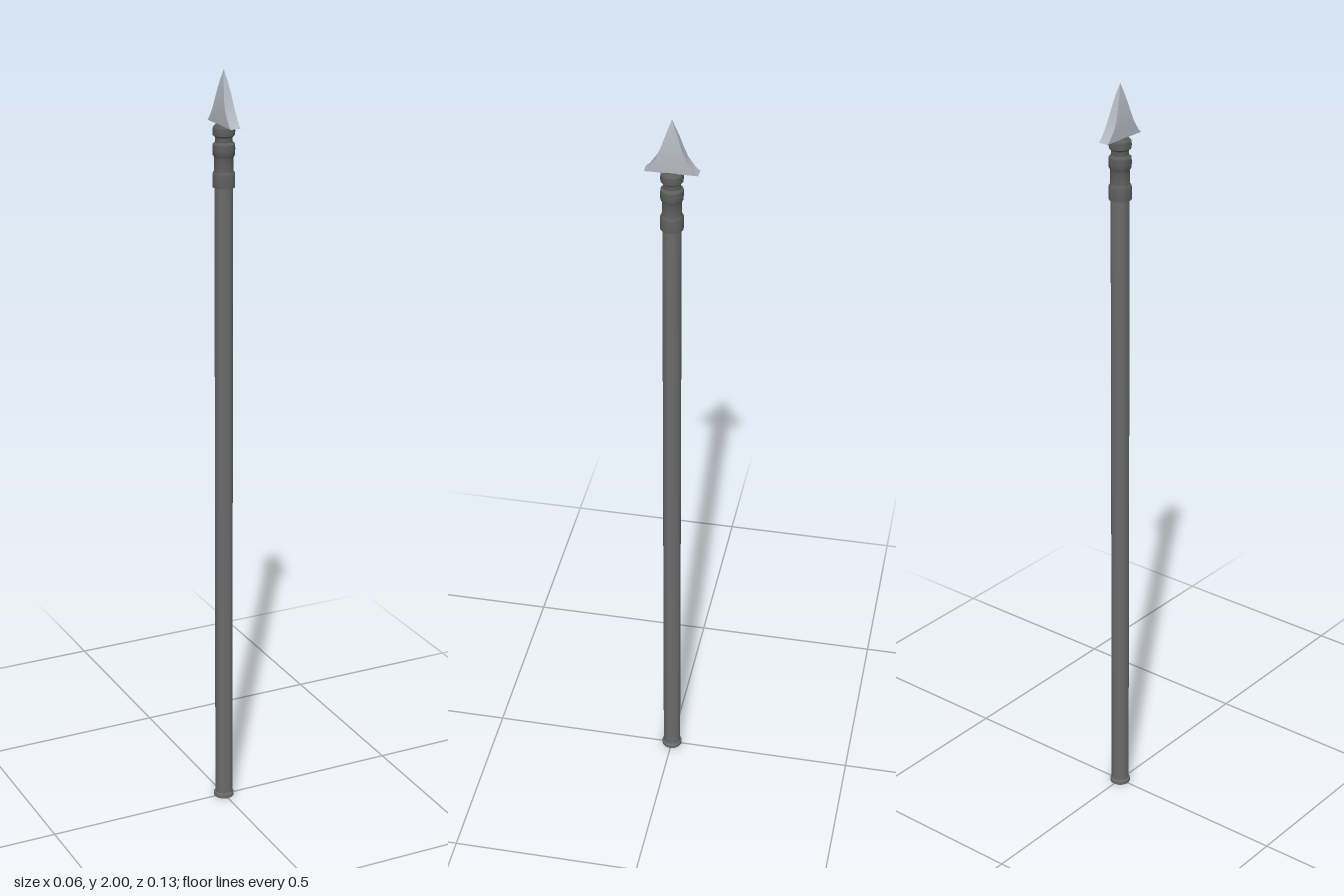
import * as THREE from 'three';
import { toCreasedNormals } from 'three/addons/utils/BufferGeometryUtils.js';

const SIDES = 20;

function turned(name, points, color) {
  const profile = points.map(([r, y]) => new THREE.Vector2(r, y));
  const geometry = toCreasedNormals(new THREE.LatheGeometry(profile, SIDES), 0.6);
  const mesh = new THREE.Mesh(geometry, new THREE.MeshStandardMaterial({ color }));
  mesh.name = name;
  return mesh;
}

// Rectangular blade: a box whose layers follow [y, half thickness, half width]
function bladeGeometry(layers) {
  const n = layers.length - 1;
  const geometry = new THREE.BoxGeometry(2, n, 2, 1, n, 1);
  const p = geometry.attributes.position;
  for (let i = 0; i < p.count; i++) {
    const [y, hx, hz] = layers[Math.round(p.getY(i) + n / 2)];
    p.setXYZ(i, p.getX(i) * hx, y, p.getZ(i) * hz);
  }
  return toCreasedNormals(geometry, 0.5);
}

export function createModel() {
  const group = new THREE.Group();
  group.name = 'spear';

  // Long round pole with a small foot rim
  group.add(turned('shaft', [
    [0, 0], [0.027, 0], [0.027, 0.009], [0.0235, 0.014], [0.0235, 1.72], [0, 1.72],
  ], 0x6a6a6a));

  // Ringed socket holding the blade
  group.add(turned('socket', [
    [0, 1.708], [0.0285, 1.708], [0.0285, 1.742], [0.0245, 1.748],
    [0.0245, 1.784], [0.028, 1.79], [0.0285, 1.803], [0.028, 1.816],
    [0.022, 1.822], [0.022, 1.834], [0.0275, 1.839], [0.0285, 1.848],
    [0.0275, 1.858], [0.02, 1.866], [0, 1.866],
  ], 0x5c5e5c));

  // Flared blade with concave edges, broad along z
  const blade = new THREE.Mesh(
    bladeGeometry([
      [1.865, 0.0135, 0.0655], [1.873, 0.0135, 0.056], [1.9, 0.0135, 0.037],
      [1.925, 0.0118, 0.0265], [1.95, 0.009, 0.0185], [1.975, 0.0052, 0.0095],
      [2, 0.0003, 0.0003],
    ]),
    new THREE.MeshStandardMaterial({ color: 0xb4b8c0 }),
  );
  blade.name = 'blade';
  group.add(blade);

  return group;
}
